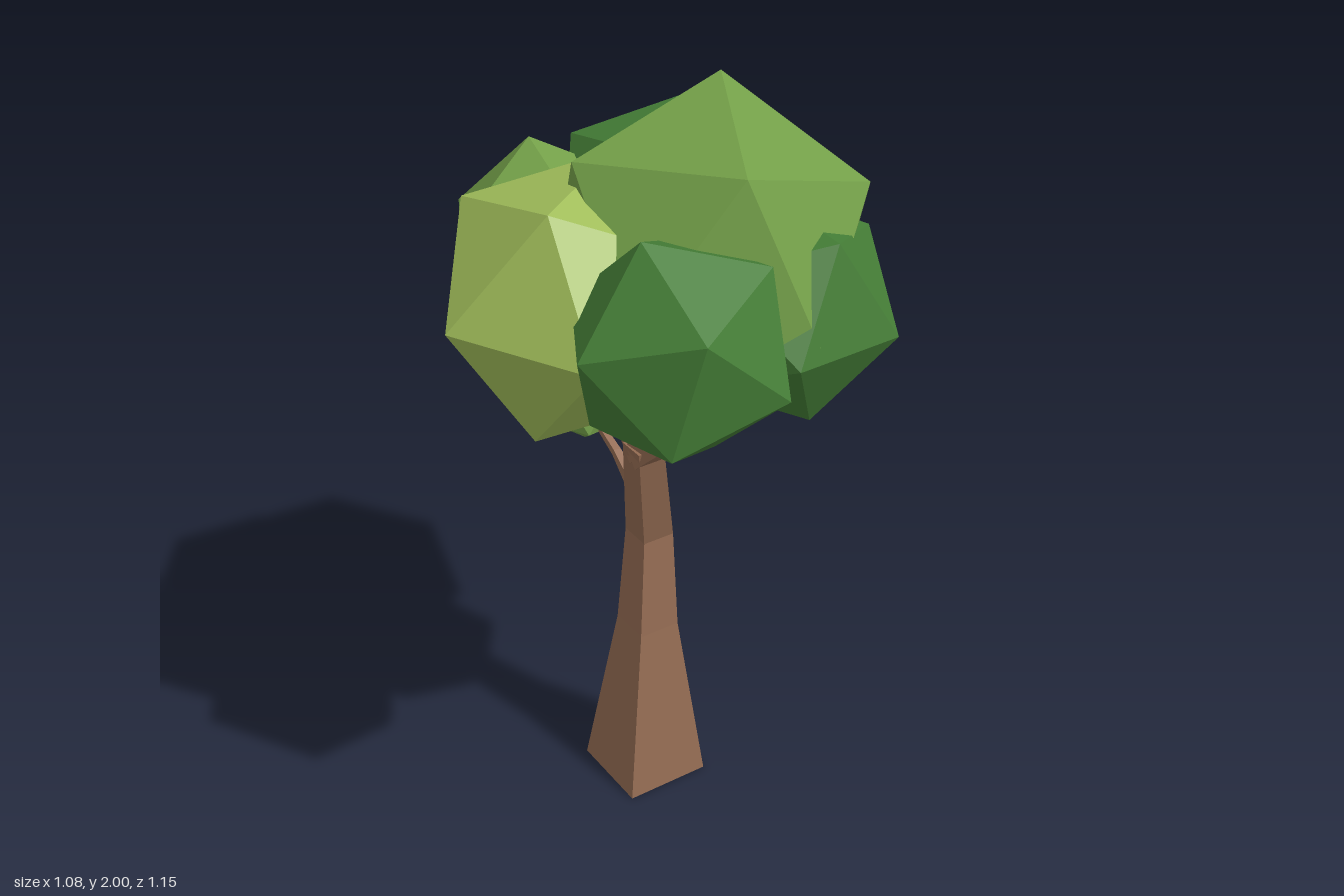
import * as THREE from 'three';

const paint = (color) => new THREE.MeshStandardMaterial({ color, flatShading: true });
const bark = paint(0x936b52);
const darkLeaf = paint(0x447d36);
const midLeaf = paint(0x739f48);
const limeLeaf = paint(0xa0bd5a);

// Square-section limb through stations [x, y, z, halfWidth]; level keeps its rings horizontal
function limb(name, stations, level = false) {
  const pts = stations.map(([x, y, z]) => new THREE.Vector3(x, y, z));
  const last = pts.length - 1;
  const rings = pts.map((p, i) => {
    const t = level
      ? new THREE.Vector3(0, 1, 0)
      : pts[Math.min(i + 1, last)].clone().sub(pts[Math.max(i - 1, 0)]).normalize();
    const u = new THREE.Vector3(1, 0, 0).addScaledVector(t, -t.x).normalize();
    const v = new THREE.Vector3().crossVectors(t, u);
    const h = stations[i][3];
    return [[1, 1], [-1, 1], [-1, -1], [1, -1]].map(([a, b]) =>
      p.clone().addScaledVector(u, a * h).addScaledVector(v, b * h));
  });
  const pos = [];
  const quad = (a, b, c, d) => [a, b, c, a, c, d].forEach((q) => pos.push(q.x, q.y, q.z));
  for (let i = 0; i < last; i++) {
    for (let k = 0; k < 4; k++) {
      const n = (k + 1) % 4;
      quad(rings[i][k], rings[i][n], rings[i + 1][n], rings[i + 1][k]);
    }
  }
  const [a, b, c, d] = rings[0];
  quad(d, c, b, a);
  quad(...rings[last]);
  const geo = new THREE.BufferGeometry();
  geo.setAttribute('position', new THREE.Float32BufferAttribute(pos, 3));
  geo.computeVertexNormals();
  const mesh = new THREE.Mesh(geo, bark);
  mesh.name = name;
  return mesh;
}

// Icosahedron turned so that two neighbouring corners point along d1 and d2
function foliage(name, material, center, radius, d1, d2) {
  const a = new THREE.Vector3(...d1).normalize();
  const b = new THREE.Vector3(...d2).normalize();
  const z = a.clone().add(b).normalize();
  const y = a.clone().sub(b).normalize();
  const x = new THREE.Vector3().crossVectors(y, z);
  const mesh = new THREE.Mesh(new THREE.IcosahedronGeometry(radius, 0), material);
  mesh.quaternion.setFromRotationMatrix(new THREE.Matrix4().makeBasis(x, y, z));
  mesh.position.set(...center);
  mesh.name = name;
  return mesh;
}

export function createModel() {
  const tree = new THREE.Group();
  tree.name = 'tree';

  // Trunk and branches
  tree.add(
    limb('trunk', [[0.032, 0, -0.095, 0.116], [0.05, 0.47, -0.108, 0.057],
      [0.065, 0.74, -0.122, 0.044], [-0.015, 1.08, -0.025, 0.036]], true),
    limb('frontBranch', [[-0.015, 1.05, -0.035, 0.033], [-0.012, 1.09, 0.01, 0.03], [0, 1.2, 0.14, 0.019]]),
    limb('frontLeftFork', [[0, 1.18, 0.12, 0.017], [-0.1, 1.28, 0.28, 0.01], [-0.15, 1.42, 0.34, 0.008]]),
    limb('frontRightFork', [[0, 1.17, 0.125, 0.017], [0.08, 1.3, 0.13, 0.011], [0.15, 1.42, 0.15, 0.008]]),
    limb('backBranch', [[-0.015, 1.05, -0.02, 0.03], [-0.015, 1.1, -0.075, 0.026],
      [-0.02, 1.2, -0.2, 0.017], [-0.03, 1.4, -0.26, 0.012]]),
    limb('sideTwig', [[0.06, 0.78, -0.12, 0.03], [0.07, 0.82, -0.18, 0.017],
      [0.08, 0.88, -0.3, 0.01], [0.085, 0.93, -0.43, 0.007]]),
  );

  // Crown
  tree.add(
    foliage('topFoliage', midLeaf, [0.07, 1.64, 0.105], 0.388, [0.1, 0.36, -0.1], [-0.08, 0.28, 0.255]),
    foliage('backRightFoliage', darkLeaf, [0.201, 1.542, -0.196], 0.336, [0.134, 0.304, -0.064], [0.334, 0.019, -0.014]),
    foliage('frontLeftFoliage', darkLeaf, [-0.165, 1.57, 0.346], 0.267, [-0.075, 0.255, -0.031], [-0.26, 0.05, 0.019]),
    foliage('frontRightFoliage', darkLeaf, [0.173, 1.535, 0.256], 0.27, [0.017, 0.21, 0.164], [0.157, -0.03, 0.219]),
    foliage('sideFoliage', limeLeaf, [-0.212, 1.55, -0.002], 0.334, [-0.138, 0.28, 0.122], [-0.328, 0.02, 0.022]),
    foliage('backFoliage', midLeaf, [-0.074, 1.497, -0.345], 0.267, [-0.011, 0.263, -0.07], [-0.116, 0.063, -0.23]),
  );

  // Small leaf tufts on the twig
  tree.add(
    foliage('twigFoliage', midLeaf, [0.075, 0.935, -0.44], 0.08, [0.1, 1, 0], [0.9, 0.4, 0.1]),
    foliage('twigTuftRight', limeLeaf, [0.105, 0.93, -0.525], 0.052, [0.4, 1, -0.2], [0.8, 0, -0.6]),
    foliage('twigTuftLeft', limeLeaf, [0.01, 0.935, -0.525], 0.05, [-0.3, 1, 0.1], [-0.5, 0.2, -0.9]),
  );

  return tree;
}
